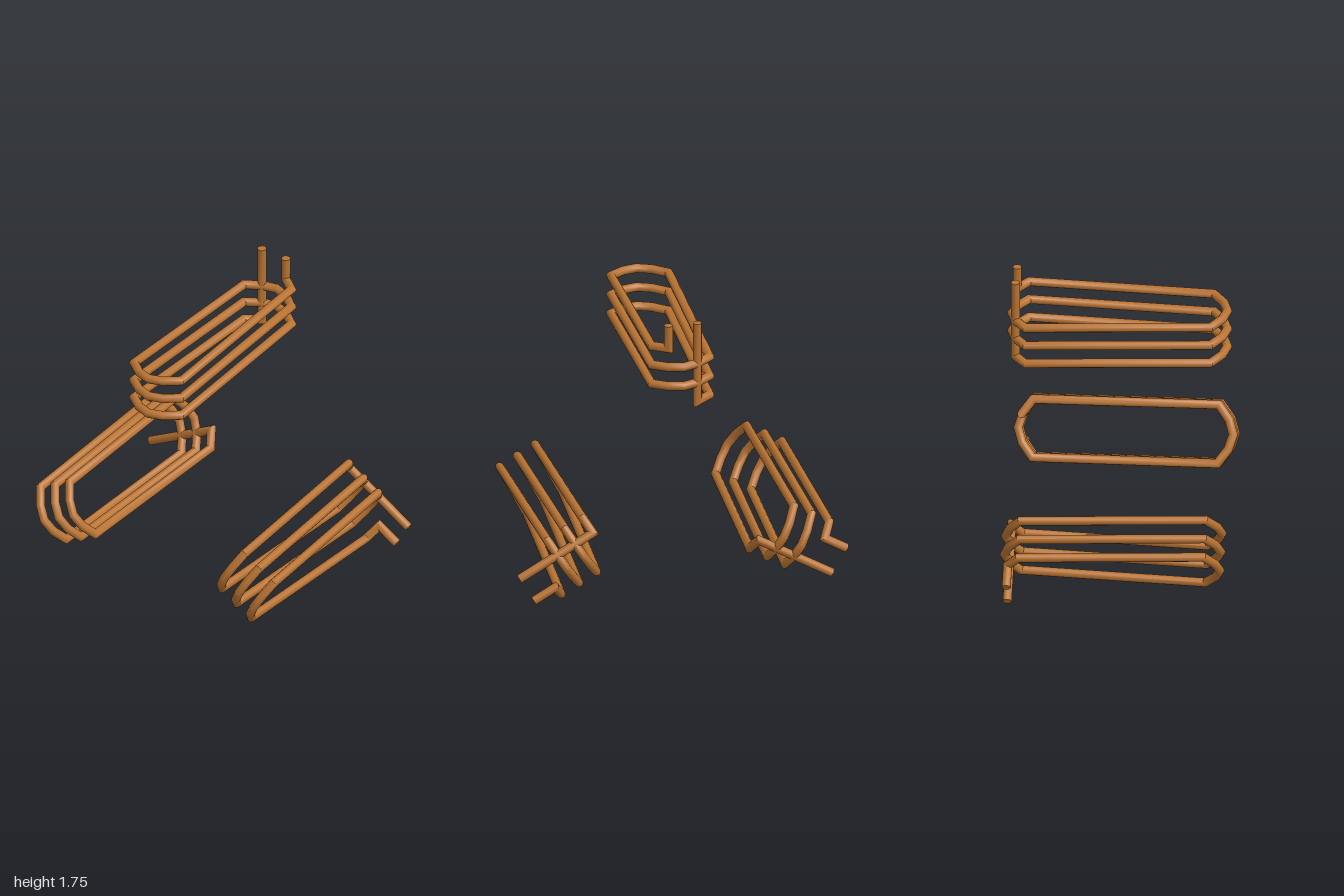
import * as THREE from 'three';
import { toCreasedNormals } from 'three/addons/utils/BufferGeometryUtils.js';

const SIDES = 12, RADIUS = 0.027;
const HALF_W = 0.175, HALF_L = 0.55, BULGE = 0.09; // racetrack loop
const AXIS_Y = 0.653, START_Y = 1.235, PITCH = 0.124, TURNS = 3, LEAD_Y = 1.749;

// Sweep a round wire along a polyline with mitred bends and closed ends
function wireGeometry(points) {
  const dirs = points.slice(1).map((p, i) => p.clone().sub(points[i]).normalize());
  const u = new THREE.Vector3(0, 0, 1).cross(dirs[0]).normalize();
  const w = dirs[0].clone().cross(u);
  let ring = [];
  for (let j = 0; j < SIDES; j++) {
    const a = (j / SIDES) * Math.PI * 2;
    ring.push(points[0].clone()
      .addScaledVector(u, RADIUS * Math.cos(a))
      .addScaledVector(w, RADIUS * Math.sin(a)));
  }
  const pos = [], index = [];
  const add = (v) => pos.push(v.x, v.y, v.z);
  ring.forEach(add);
  dirs.forEach((d, i) => {
    // slide the ring along the segment onto the mitre plane
    const n = d.clone().add(dirs[i + 1] ?? d).normalize();
    ring = ring.map((v) => v.clone().addScaledVector(d, points[i + 1].clone().sub(v).dot(n) / d.dot(n)));
    ring.forEach(add);
    for (let j = 0; j < SIDES; j++) {
      const a = i * SIDES + j, b = i * SIDES + (j + 1) % SIDES;
      index.push(a, b, b + SIDES, a, b + SIDES, a + SIDES);
    }
  });
  // end caps
  const last = (points.length - 1) * SIDES, c = points.length * SIDES;
  add(points[0]);
  add(points[points.length - 1]);
  for (let j = 0; j < SIDES; j++) {
    const k = (j + 1) % SIDES;
    index.push(c, k, j, c + 1, last + j, last + k);
  }
  const geo = new THREE.BufferGeometry();
  geo.setAttribute('position', new THREE.Float32BufferAttribute(pos, 3));
  geo.setIndex(index);
  return toCreasedNormals(geo, 0.75);
}

// One coil: lead down, rising racetrack turns, lead up (y relative to the machine axis)
function coilPath() {
  const loop = [];
  for (const s of [1, -1]) { // front arc, then rear arc
    for (let k = 0; k <= 4; k++) {
      loop.push(new THREE.Vector3(
        s * HALF_W * (k / 2 - 1), 0,
        s * (HALF_L + BULGE * Math.sin((k / 4) * Math.PI))));
    }
  }
  const N = loop.length;
  const step = (i) => loop[i % N].distanceTo(loop[(i + 1) % N]);
  let perimeter = 0;
  for (let i = 0; i < N; i++) perimeter += step(i);

  const path = [];
  let travelled = 0;
  // loop[8] is the rear point at -x/2, loop[6] the one at +x/2
  for (let i = 8; i <= 6 + N * TURNS; i++) {
    const p = loop[i % N].clone();
    p.y = START_Y - AXIS_Y + (travelled / perimeter) * PITCH;
    path.push(p);
    travelled += step(i);
  }
  const lead = (p) => new THREE.Vector3(p.x, LEAD_Y - AXIS_Y, p.z);
  return [lead(path[0]), ...path, lead(path[path.length - 1])];
}

export function createModel() {
  const model = new THREE.Group();
  model.name = 'threePhaseCoils';
  const copper = new THREE.MeshStandardMaterial({ color: 0xb87333 });
  const geometry = wireGeometry(coilPath());

  // three coils spaced evenly around the z axis
  ['topCoil', 'leftCoil', 'rightCoil'].forEach((name, i) => {
    const coil = new THREE.Mesh(geometry, copper);
    coil.name = name;
    coil.position.y = AXIS_Y;
    coil.rotation.z = (-i * Math.PI * 2) / 3;
    model.add(coil);
  });
  return model;
}
